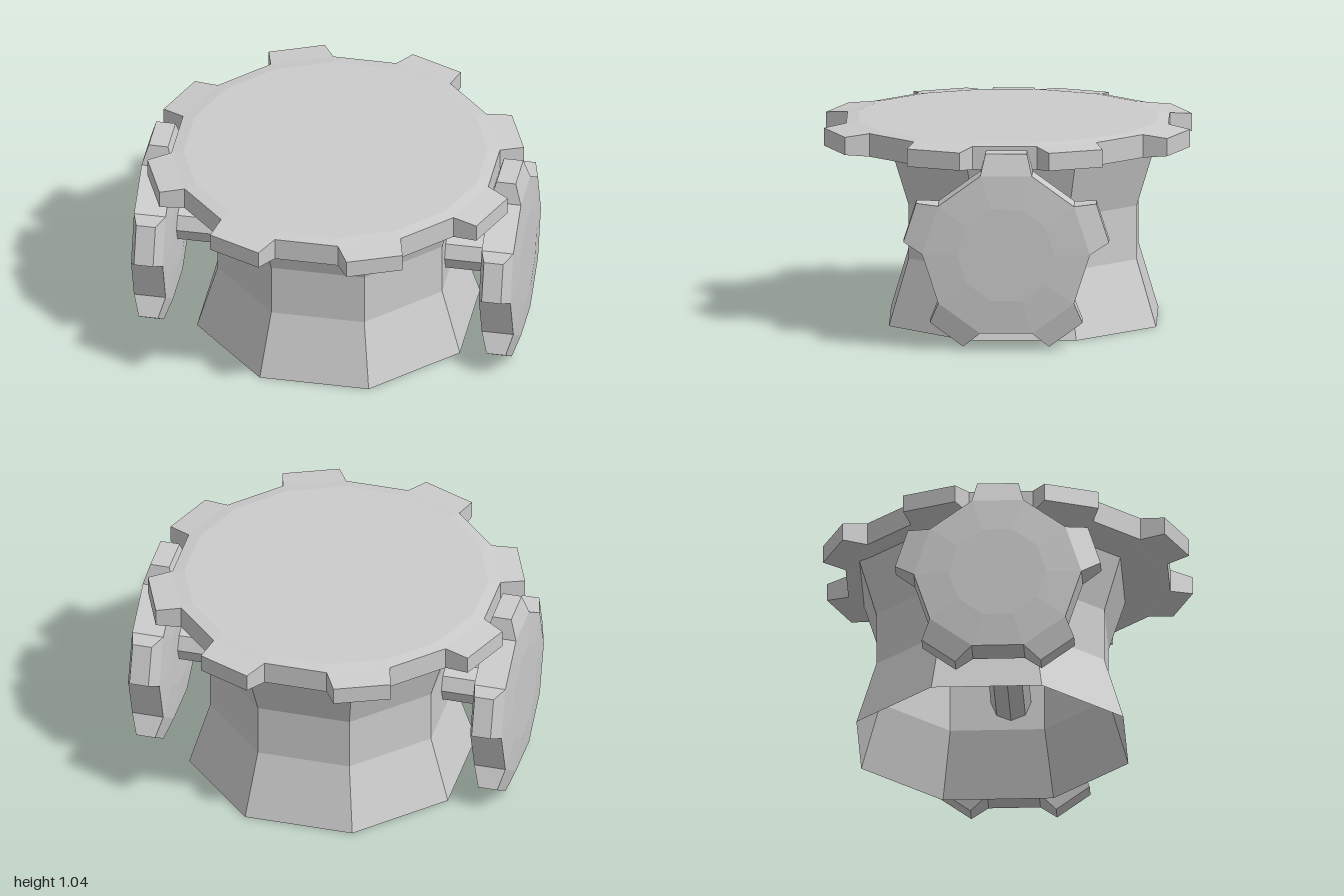
import * as THREE from 'three';

const grey = new THREE.MeshStandardMaterial({ color: 0xcccccc, flatShading: true });
const greyOpen = new THREE.MeshStandardMaterial({ color: 0xcccccc, flatShading: true, side: THREE.DoubleSide });

// Gear about the y axis, first tooth towards +z. Each of cap, root and tip has
// a radius r and a half thickness h; tipHalf is half the width of a tooth tip.
function gearGeometry(teeth, cap, root, tip, tipHalf) {
  const pos = [];
  const tri = (a, b, c) => pos.push(...a, ...b, ...c);
  const quad = (a, b, c, d) => { tri(a, b, c); tri(a, c, d); };
  const P = (r, a, y) => [r * Math.sin(a), y, r * Math.cos(a)];
  const step = Math.PI / teeth;
  const tipR = Math.hypot(tip.r, tipHalf), tipA = Math.atan2(tipHalf, tip.r);

  for (let i = 0; i < teeth * 2; i++) {
    const mid = i * step, a0 = mid - step / 2, a1 = mid + step / 2;
    const t0 = mid - tipA, t1 = mid + tipA;
    const isTooth = i % 2 === 0;

    // domed faces, upper and lower
    for (const s of [1, -1]) {
      const face = (...p) => {
        if (s < 0) p.reverse();
        p.length === 3 ? tri(...p) : quad(...p);
      };
      const c0 = P(cap.r, a0, s * cap.h), c1 = P(cap.r, a1, s * cap.h);
      const r0 = P(root.r, a0, s * root.h), r1 = P(root.r, a1, s * root.h);
      face([0, s * cap.h, 0], c0, c1);
      face(c0, r0, r1, c1);
      if (isTooth) face(r0, P(tipR, t0, s * tip.h), P(tipR, t1, s * tip.h), r1);
    }

    // rim: a gap wall, or the tip and flanks of a tooth
    const rb0 = P(root.r, a0, -root.h), rb1 = P(root.r, a1, -root.h);
    const rt0 = P(root.r, a0, root.h), rt1 = P(root.r, a1, root.h);
    if (!isTooth) {
      quad(rb0, rb1, rt1, rt0);
    } else {
      const tb0 = P(tipR, t0, -tip.h), tb1 = P(tipR, t1, -tip.h);
      const tt0 = P(tipR, t0, tip.h), tt1 = P(tipR, t1, tip.h);
      quad(tb0, tb1, tt1, tt0);
      quad(rb0, tb0, tt0, rt0);
      quad(tb1, rb1, rt1, tt1);
    }
  }
  const g = new THREE.BufferGeometry();
  g.setAttribute('position', new THREE.Float32BufferAttribute(pos, 3));
  g.computeVertexNormals();
  return g;
}

export function createModel() {
  const model = new THREE.Group();
  const add = (name, geometry, material, x, y, z) => {
    const mesh = new THREE.Mesh(geometry, material);
    mesh.name = name;
    mesh.position.set(x, y, z);
    model.add(mesh);
  };

  // waisted eight-sided drum, open at the bottom
  const toCorner = 1 / Math.cos(Math.PI / 8);
  const profile = [[0.685, 0], [0.585, 0.345], [0.585, 0.625], [0.67, 0.91]]
    .map(([r, y]) => new THREE.Vector2(r * toCorner, y));
  add('drum', new THREE.LatheGeometry(profile, 8, Math.PI / 8), greyOpen, 0, 0, -0.08);

  // large flat gear on top
  const top = gearGeometry(8, { r: 0.78, h: 0.07 }, { r: 0.842, h: 0.06 }, { r: 0.955, h: 0.046 }, 0.147);
  top.rotateY(Math.PI / 8);
  add('topGear', top, grey, 0, 0.975, 0);

  // five-toothed side wheels, turned to spin about x
  const wheel = gearGeometry(5, { r: 0.25, h: 0.094 }, { r: 0.43, h: 0.0825 }, { r: 0.52, h: 0.05 }, 0.106);
  wheel.applyMatrix4(new THREE.Matrix4().makeBasis(
    new THREE.Vector3(0, 0, 1), new THREE.Vector3(1, 0, 0), new THREE.Vector3(0, 1, 0)));
  add('leftWheel', wheel, grey, 0.906, 0.5, -0.01);
  add('rightWheel', wheel, grey, -0.906, 0.5, -0.01);

  // axle through the drum
  const axle = new THREE.CylinderGeometry(0.104, 0.104, 1.66, 8);
  axle.rotateZ(Math.PI / 2);
  add('axle', axle, grey, 0, 0.5, -0.01);

  return model;
}
